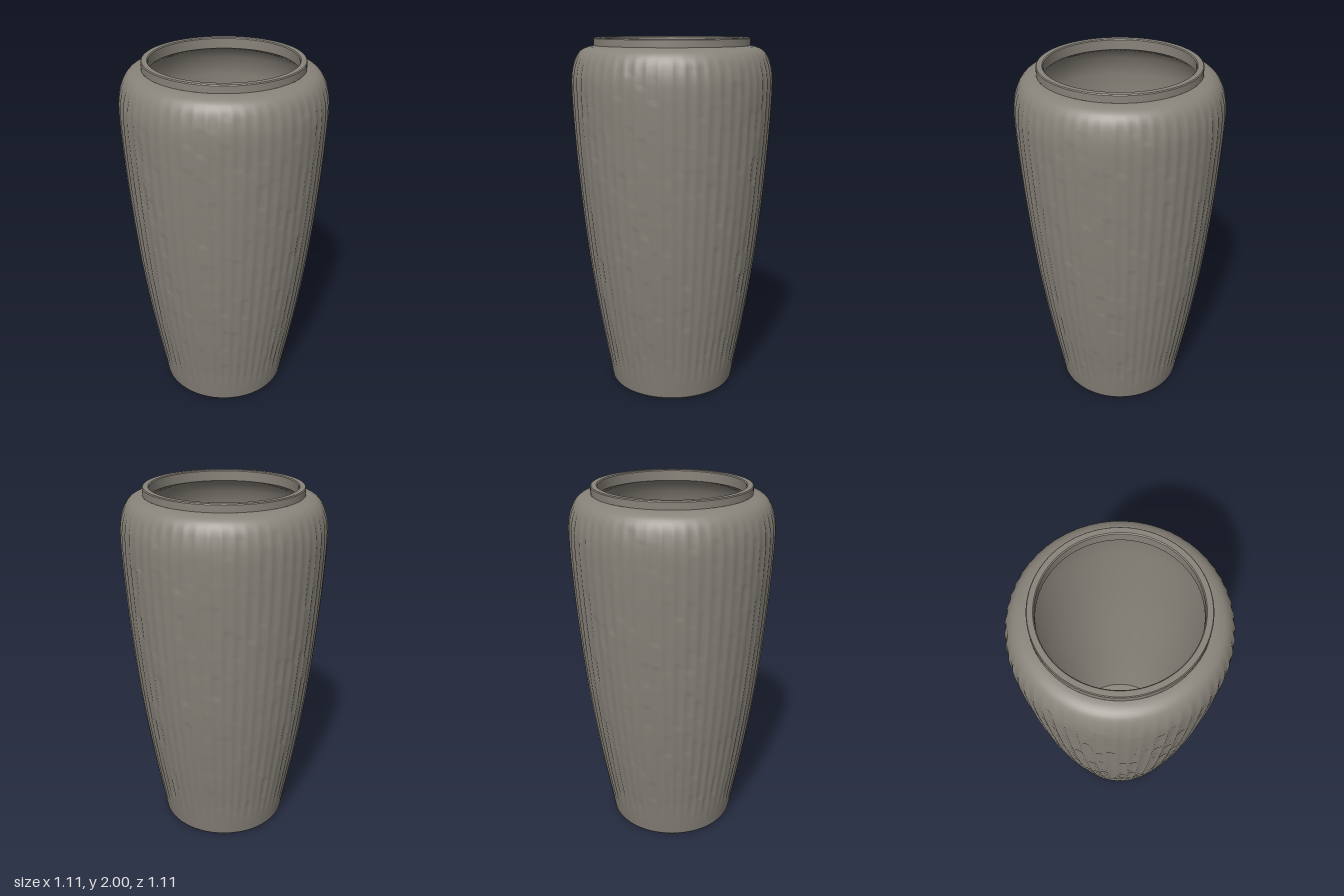
import * as THREE from 'three';
import { mergeVertices, toCreasedNormals } from 'three/addons/utils/BufferGeometryUtils.js';

const V = (x, y) => new THREE.Vector2(x, y);

// repeatable pseudo-random value for each carved facet
const hash = (a, b) => {
  const s = Math.sin(a * 127.1 + b * 311.7) * 43758.5453;
  return s - Math.floor(s);
};

export function createModel() {
  const group = new THREE.Group();
  const stone = new THREE.MeshStandardMaterial({ color: 0x88837a });
  stone.name = 'warm grey stone';

  const add = (name, geometry) => {
    const mesh = new THREE.Mesh(geometry, stone);
    mesh.name = name;
    group.add(mesh);
  };
  const lathe = (name, points) =>
    add(name, toCreasedNormals(new THREE.LatheGeometry(points, 96), 0.6));

  // body: smooth tapering profile with a round shoulder
  const profile = new THREE.SplineCurve([
    V(0.359, 0.015), V(0.393, 0.2), V(0.428, 0.4), V(0.459, 0.6), V(0.486, 0.8),
    V(0.508, 1.0), V(0.526, 1.2), V(0.541, 1.4), V(0.552, 1.6), V(0.556, 1.74),
    V(0.551, 1.82), V(0.533, 1.885), V(0.503, 1.93), V(0.465, 1.951), V(0.43, 1.958),
  ]);
  const columns = 56, perColumn = 5, facetHeight = 0.13;
  const segments = columns * perColumn;
  const rows = profile.getSpacedPoints(140);
  const body = new THREE.LatheGeometry(rows, segments);

  // carve staggered shallow scoops, fading out at the foot and the shoulder
  const pos = body.attributes.position;
  for (let i = 0; i < pos.count; i++) {
    const seg = Math.floor(i / rows.length) % segments;
    const y = pos.getY(i);
    const column = Math.floor(seg / perColumn);
    const t = (seg % perColumn) / perColumn * 2 - 1;
    const row = Math.floor(y / facetHeight + hash(column, 3) + (column % 2) * 0.5);
    const fade = THREE.MathUtils.smoothstep(y, 0.05, 0.25)
      * (1 - THREE.MathUtils.smoothstep(y, 1.84, 1.94));
    const depth = fade * (1 - t * t) * (0.003 + 0.004 * hash(column, row));
    const r = Math.hypot(pos.getX(i), pos.getZ(i));
    const k = (r - depth) / r;
    pos.setXYZ(i, pos.getX(i) * k, y, pos.getZ(i) * k);
  }
  body.deleteAttribute('uv');
  body.deleteAttribute('normal');
  const welded = mergeVertices(body, 1e-5);
  welded.computeVertexNormals();
  add('carvedBody', welded);

  // underside with a drain hole and a small rounded foot edge
  lathe('base', [V(0.035, 0), V(0.343, 0), V(0.352, 0.004), V(0.359, 0.015)]);

  // raised collar and lip
  lathe('rim', [V(0.43, 1.958), V(0.43, 1.995), V(0.426, 2), V(0.398, 2), V(0.393, 1.995), V(0.393, 1.94)]);

  // hollow inside following the outer taper
  lathe('innerWall', [
    V(0.393, 1.94), V(0.45, 1.91), V(0.495, 1.86), V(0.515, 1.75), V(0.51, 1.6), V(0.485, 1.2),
    V(0.465, 1.0), V(0.44, 0.8), V(0.415, 0.6), V(0.385, 0.35), V(0.337, 0.06),
  ]);
  lathe('innerFloor', [V(0.337, 0.06), V(0.035, 0.05)]);
  lathe('drainHole', [V(0.035, 0.05), V(0.035, 0)]);

  return group;
}
